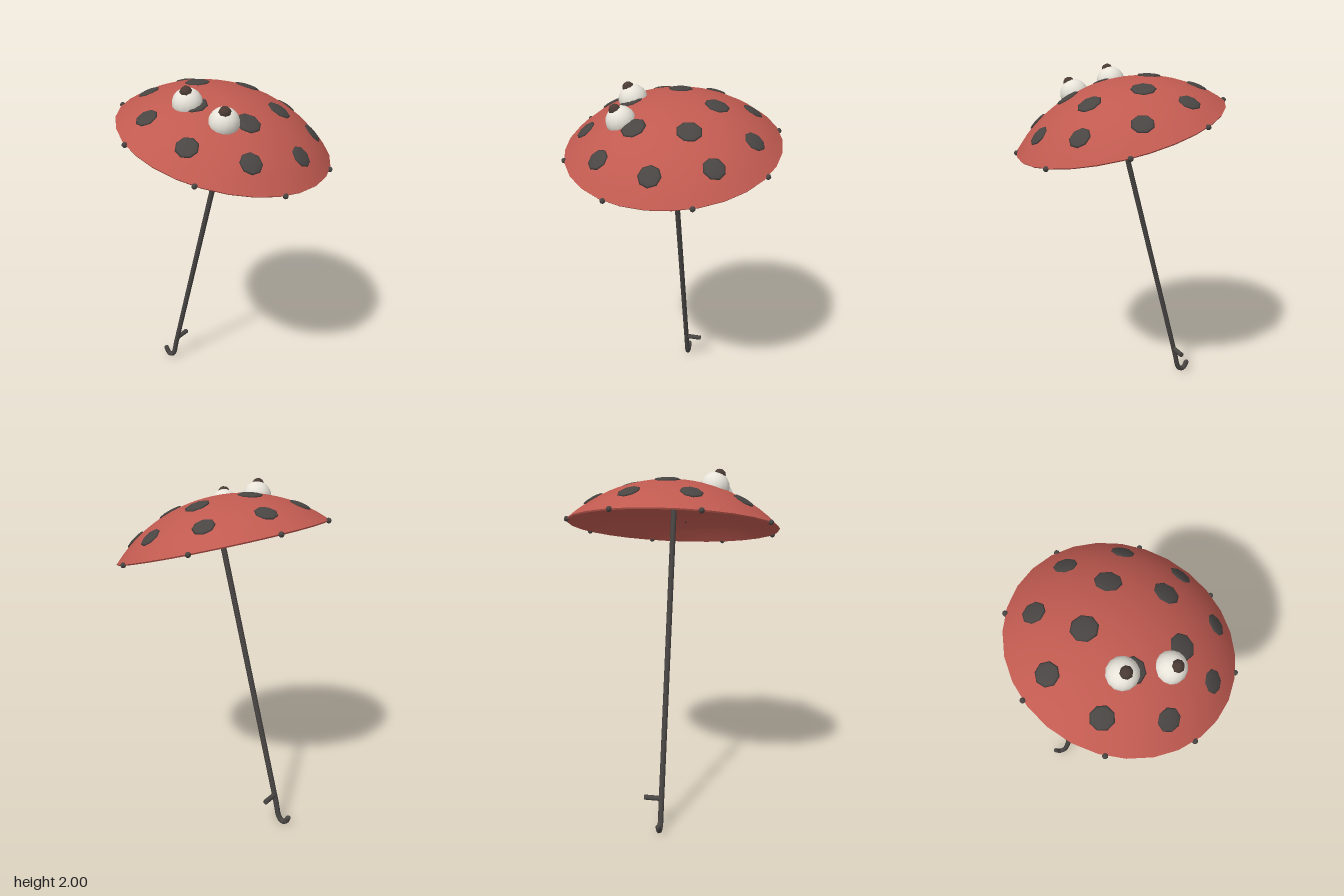
import * as THREE from 'three';
import { toCreasedNormals } from 'three/addons/utils/BufferGeometryUtils.js';

const TILT = -Math.PI / 12;
const RIM = 0.6, HEIGHT = 0.25;
const R = (RIM * RIM + HEIGHT * HEIGHT) / (2 * HEIGHT); // dome sphere radius
const domeY = (r) => Math.sqrt(R * R - r * r) - (R - HEIGHT);

const red = new THREE.MeshStandardMaterial({ color: 0xc05a50 });
const dark = new THREE.MeshStandardMaterial({ color: 0x484543 });
const white = new THREE.MeshStandardMaterial({ color: 0xe8e4da });
const brown = new THREE.MeshStandardMaterial({ color: 0x4a3b34 });

function add(parent, name, geometry, material, x = 0, y = 0, z = 0) {
  const mesh = new THREE.Mesh(geometry, material);
  mesh.name = name;
  mesh.position.set(x, y, z);
  parent.add(mesh);
  return mesh;
}

export function createModel() {
  const model = new THREE.Group();
  model.name = 'ladybugUmbrella';

  // Tilted canopy group, origin at the centre of the rim
  const canopy = new THREE.Group();
  canopy.name = 'canopy';
  canopy.position.y = 1.68;
  canopy.rotation.z = TILT;
  model.add(canopy);

  // Dome shell: inside from apex to rim, then outside back up
  const profile = [];
  const steps = 12, thick = 0.012;
  for (let i = 0; i <= steps; i++) {
    const r = (RIM - 0.005) * i / steps;
    profile.push(new THREE.Vector2(r, domeY(r) - thick));
  }
  for (let i = steps; i >= 0; i--) {
    const r = RIM * i / steps;
    profile.push(new THREE.Vector2(r, domeY(r)));
  }
  add(canopy, 'dome', toCreasedNormals(new THREE.LatheGeometry(profile, 28), 0.7), red);

  // Two rings of flattened spots lying on the dome
  const spotRing = (count, ringRadius, start, size) => {
    const up = new THREE.Vector3(0, 1, 0);
    for (let i = 0; i < count; i++) {
      const a = start + i * Math.PI * 2 / count;
      const x = ringRadius * Math.cos(a), z = ringRadius * Math.sin(a), y = domeY(ringRadius);
      const spot = add(canopy, 'spot', new THREE.SphereGeometry(1, 8, 6), dark, x, y, z);
      const normal = new THREE.Vector3(x, y + R - HEIGHT, z).normalize();
      const turn = new THREE.Quaternion().setFromAxisAngle(up, -a);
      spot.quaternion.setFromUnitVectors(up, normal).multiply(turn);
      spot.scale.set(size, 0.011, size);
    }
  };
  spotRing(5, 0.25, Math.PI / 5, 0.07);
  spotRing(9, 0.47, 0, 0.062);

  // Rib tips around the rim
  for (let i = 0; i < 8; i++) {
    const a = (i + 0.5) * Math.PI / 4;
    add(canopy, 'ribTip', new THREE.SphereGeometry(0.015, 8, 6), dark,
      RIM * Math.cos(a), -0.003, RIM * Math.sin(a));
  }

  // Pair of bulging eyes with pupils looking up
  for (const s of [-1, 1]) {
    add(canopy, 'eye', new THREE.SphereGeometry(0.082, 14, 10), white, s * 0.12, 0.2, 0.24);
    add(canopy, 'pupil', new THREE.SphereGeometry(0.034, 8, 6), brown, s * 0.126, 0.264, 0.264);
  }

  // Straight pole along the canopy axis
  const poleLength = 1.85;
  add(canopy, 'pole', new THREE.CylinderGeometry(0.016, 0.016, poleLength, 8), dark,
    0, 0.23 - poleLength / 2, 0);

  // Curved hook at the foot of the pole
  const path = new THREE.CatmullRomCurve3([
    [-0.412, 0.14], [-0.423, 0.095], [-0.434, 0.05], [-0.452, 0.024],
    [-0.473, 0.017], [-0.492, 0.032], [-0.504, 0.056],
  ].map(([x, y]) => new THREE.Vector3(x, y, 0)));
  add(model, 'hook', new THREE.TubeGeometry(path, 20, 0.016, 8), dark);
  add(model, 'hookTip', new THREE.SphereGeometry(0.016, 8, 6), dark, -0.504, 0.056, 0);

  // Small peg sticking out of the back of the pole
  const peg = add(model, 'peg', new THREE.CylinderGeometry(0.015, 0.015, 0.1, 8), dark, -0.402, 0.18, -0.05);
  peg.rotation.x = Math.PI / 2;

  return model;
}
